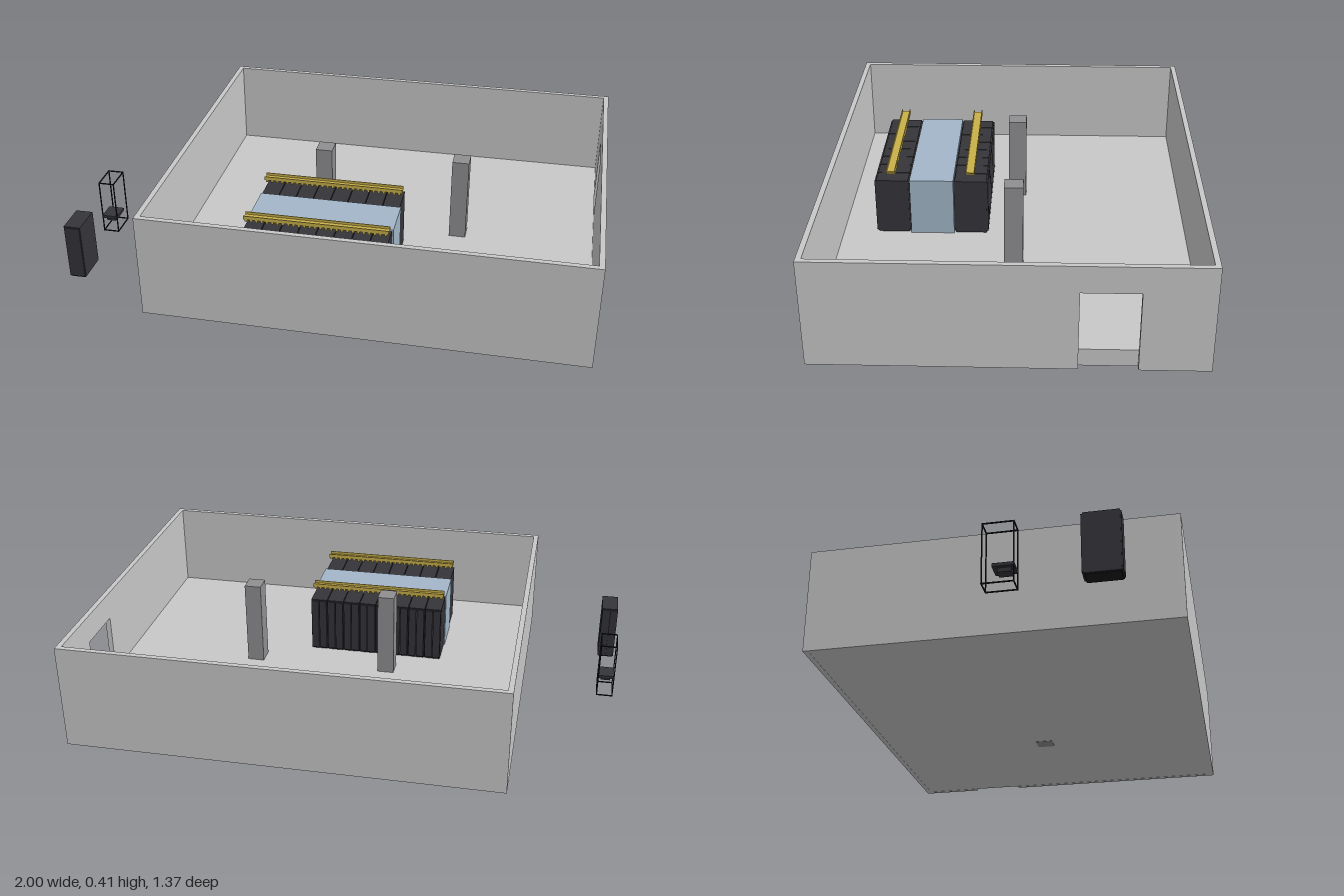
import * as THREE from 'three';

const mat = (name, color) => {
  const m = new THREE.MeshStandardMaterial({ color });
  m.name = name;
  return m;
};

export function createModel() {
  const concrete = mat('pale concrete', 0xc8c8c8);
  const columnGrey = mat('column grey', 0x8f8f92);
  const rackDark = mat('rack charcoal', 0x34343a);
  const black = mat('frame black', 0x18181a);
  const yellow = mat('tray yellow', 0xc8b04a);
  const blue = mat('aisle blue', 0xa2b6c8);

  const model = new THREE.Group();
  model.name = 'serverRoom';

  // Box given by its minimum and maximum corners
  const box = (parent, name, material, [x0, y0, z0], [x1, y1, z1]) => {
    const g = new THREE.BoxGeometry(x1 - x0, y1 - y0, z1 - z0);
    g.translate((x0 + x1) / 2, (y0 + y1) / 2, (z0 + z1) / 2);
    const mesh = new THREE.Mesh(g, material);
    mesh.name = name;
    parent.add(mesh);
    return mesh;
  };
  const group = (parent, name) => {
    const g = new THREE.Group();
    g.name = name;
    parent.add(g);
    return g;
  };

  // Room shell: raised floor, three plain walls and one with a doorway
  const X0 = -0.64, X1 = 1, Z = 0.683, H = 0.407, T = 0.02, FLOOR = 0.068;
  const room = group(model, 'room');
  box(room, 'raisedFloor', concrete, [X0 + T, 0.001, -Z + T], [X1 - T, FLOOR, Z - T]);
  box(room, 'frontWall', concrete, [X0, 0, Z - T], [X1, H, Z]);
  box(room, 'backWall', concrete, [X0, 0, -Z], [X1, H, -Z + T]);
  box(room, 'plainSideWall', concrete, [X0, 0, -Z + T], [X0 + T, H, Z - T]);

  const wall = new THREE.Shape();
  [[-Z + T, 0], [-0.437, 0], [-0.437, 0.305], [-0.235, 0.305], [-0.235, 0], [Z - T, 0], [Z - T, H], [-Z + T, H]]
    .forEach(([z, y], i) => (i ? wall.lineTo(-z, y) : wall.moveTo(-z, y)));
  const doorWall = new THREE.Mesh(new THREE.ExtrudeGeometry(wall, { depth: T, bevelEnabled: false }), concrete);
  doorWall.name = 'doorWall';
  doorWall.rotation.y = Math.PI / 2;
  doorWall.position.x = X1 - T;
  room.add(doorWall);

  // Structural columns
  box(room, 'column', columnGrey, [-0.125, 0.002, -0.04], [-0.06, 0.4, 0.03]);
  box(room, 'column', columnGrey, [0.415, 0, -0.04], [0.48, 0.4, 0.03]);

  // Cabinet with its rear at -z; origin at the centre of the base
  const W = 0.065, RH = 0.225, D = 0.132;
  const makeRack = (parent, name) => {
    const r = group(parent, name);
    const w = W / 2, d = D / 2;
    box(r, 'cabinetBody', rackDark, [-w, 0.004, -d + 0.006], [w, RH, d - 0.004]);
    box(r, 'frontDoor', rackDark, [-w + 0.003, 0.008, d - 0.004], [w - 0.003, RH - 0.004, d]);
    for (const s of [-1, 1]) {
      const c = s * w / 2;
      box(r, 'rearDoorLeaf', rackDark, [c - 0.0145, 0.008, -d], [c + 0.0145, RH - 0.004, -d + 0.006]);
    }
    box(r, 'plinth', black, [-w + 0.003, 0, -d + 0.008], [w - 0.003, 0.004, d - 0.006]);
    return r;
  };

  // Two rows of cabinets facing a shared aisle
  const A0 = -0.295, A1 = 0.245, COUNT = 8, PITCH = (A1 - A0) / COUNT;
  const rows = [
    { name: 'backRow', z: 0.166, turn: 0, tray: [0.15, 0.185] },
    { name: 'frontRow', z: 0.468, turn: Math.PI, tray: [0.452, 0.487] },
  ];
  for (const { name, z, turn, tray } of rows) {
    const row = group(model, name);
    for (let i = 0; i < COUNT; i++) {
      const r = makeRack(row, 'rack');
      r.position.set(A0 + PITCH * (i + 0.5), FLOOR, z);
      r.rotation.y = turn;
    }
    // dark filler closing the seams between cabinets
    box(row, 'seamFiller', black, [A0 + 0.01, FLOOR, z - 0.054], [A1 - 0.01, FLOOR + RH - 0.004, z + 0.054]);

    // Cable tray with lips and a row of rungs underneath
    const t = group(row, 'cableTray');
    const [z0, z1] = tray;
    box(t, 'trayBase', yellow, [A0, 0.328, z0], [A1, 0.333, z1]);
    box(t, 'trayLip', yellow, [A0, 0.333, z0], [A1, 0.343, z0 + 0.003]);
    box(t, 'trayLip', yellow, [A0, 0.333, z1 - 0.003], [A1, 0.343, z1]);
    for (let i = 0; i < 27; i++) {
      const x = A0 + (i + 0.25) * (A1 - A0) / 27;
      box(t, 'trayRung', yellow, [x, 0.32, z0], [x + 0.009, 0.328, z1]);
    }
  }

  // Enclosed aisle between the rows
  box(model, 'aisleEnclosure', blue, [A0 - 0.002, FLOOR, 0.233], [A1 + 0.004, FLOOR + RH + 0.004, 0.4]);

  // Spare cabinet outside the room
  makeRack(model, 'spareRack').position.set(-0.9675, 0, 0.446);

  // Open frame of thin bars with a shelf
  const frame = group(model, 'openFrame');
  const x0 = -1, x1 = -0.935, z0 = 0.055, z1 = 0.165, B = 0.004;
  for (const x of [x0, x1 - B]) {
    for (const z of [z0, z1 - B]) box(frame, 'post', black, [x, 0, z], [x + B, RH, z + B]);
    for (const y of [0, RH - B]) box(frame, 'depthBar', black, [x, y, z0], [x + B, y + B, z1]);
  }
  for (const z of [z0, z1 - B]) {
    for (const y of [0, RH - B]) box(frame, 'widthBar', black, [x0, y, z], [x1, y + B, z + B]);
  }
  box(frame, 'shelf', rackDark, [x0 + 0.001, 0.06, 0.09], [x1 - 0.001, 0.072, z1 - 0.001]);
  box(frame, 'shelfUnit', rackDark, [x0 + 0.014, 0.045, 0.105], [x1 - 0.014, 0.06, z1 - 0.012]);

  return model;
}
